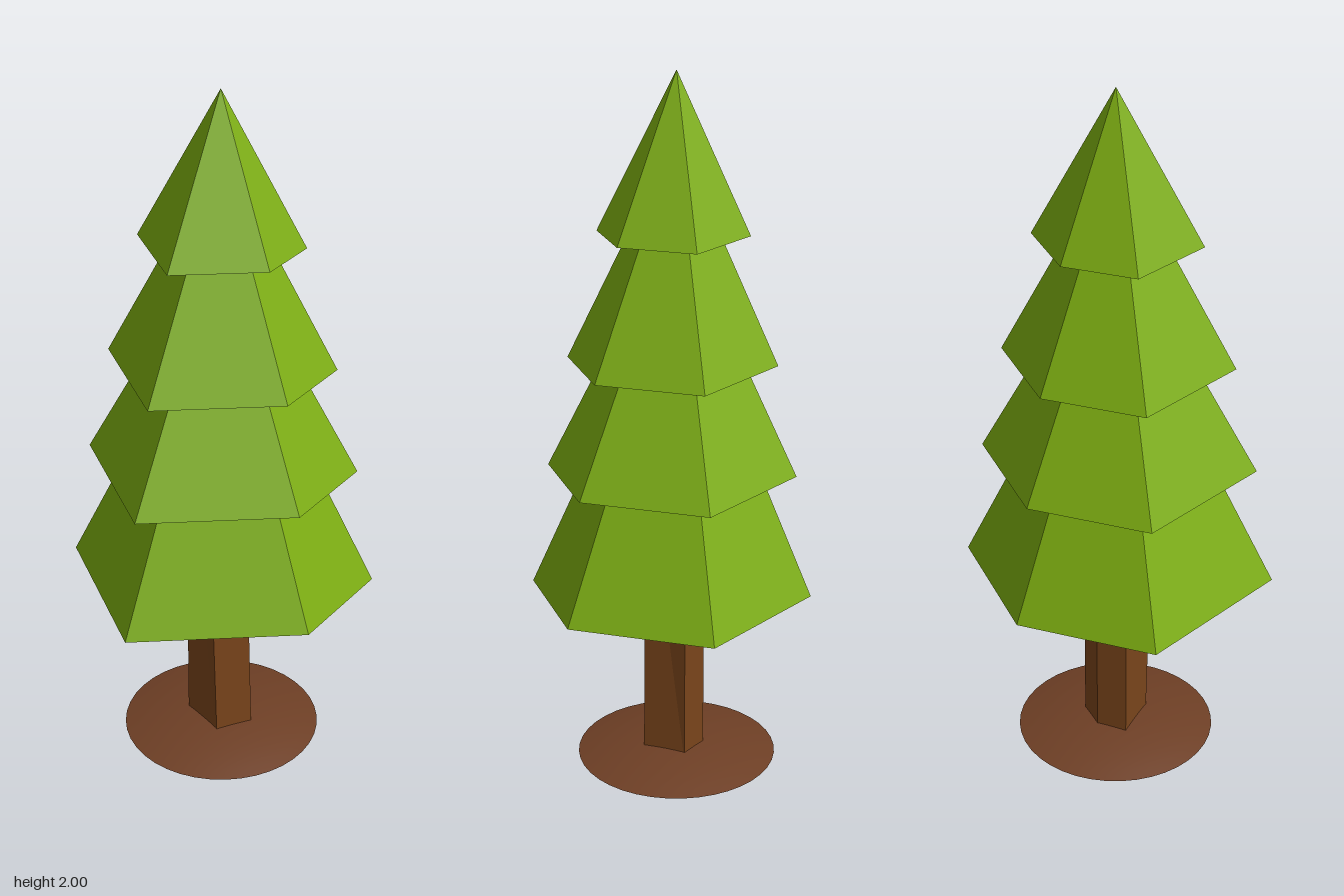
import * as THREE from 'three';

const AXIS_X = -0.01;
const HOLE_RADIUS = 0.334;

// Irregular hexagon (x, z) of the widest tier, relative to the tree axis
const HEX = [[0.015, -0.39], [0.39, -0.205], [0.38, 0.205], [0.11, 0.39], [-0.37, 0.25], [-0.36, -0.24]];
// Irregular pentagon (x, z) of the trunk, relative to the tree axis
const TRUNK = [[0.065, 0.08], [0.08, -0.045], [0, -0.08], [-0.085, -0.05], [-0.045, 0.085]];
// Tiers: base height, apex height, scale
const TIERS = [[0.545, 1.46, 1], [0.9, 1.61, 0.877], [1.215, 1.83, 0.731], [1.57, 2, 0.525]];

const outline = (points, s = 1) => new THREE.Shape(points.map(([x, z]) => new THREE.Vector2(x * s, z * s)));

function createTier([base, apex, s], index) {
  const tier = new THREE.Group();
  tier.name = `foliageTier${index + 1}`;
  const green = new THREE.MeshStandardMaterial({ color: 0x7cad10, flatShading: true });
  const insideGreen = green.clone();
  insideGreen.side = THREE.BackSide;
  const height = apex - base;

  // Six sloping faces meeting at the apex
  const positions = [];
  HEX.forEach(([x, z], i) => {
    const [nx, nz] = HEX[(i + 1) % HEX.length];
    positions.push(nx * s, 0, nz * s, x * s, 0, z * s, 0, height, 0);
  });
  const shell = new THREE.BufferGeometry();
  shell.setAttribute('position', new THREE.Float32BufferAttribute(positions, 3));
  shell.computeVertexNormals();
  const slopes = new THREE.Mesh(shell, green);
  slopes.name = 'slopes';

  // Flat underside with a round opening
  const rimShape = outline(HEX, s);
  rimShape.holes.push(new THREE.Path().absarc(0, 0, HOLE_RADIUS * s, 0, Math.PI * 2, true));
  const rim = new THREE.Mesh(new THREE.ShapeGeometry(rimShape, 12).rotateX(Math.PI / 2), green);
  rim.name = 'undersideRim';

  // Conical hollow inside the tier
  const depth = height * 0.86;
  const hollow = new THREE.Mesh(
    new THREE.ConeGeometry(HOLE_RADIUS * s, depth, 24, 1, true).translate(0, depth / 2, 0), insideGreen);
  hollow.name = 'hollow';

  tier.add(slopes, rim, hollow);
  tier.position.y = base;
  return tier;
}

function createTrunk() {
  const bottom = 0.003, top = 0.95;
  const geometry = new THREE.ExtrudeGeometry(outline(TRUNK), { depth: top - bottom, bevelEnabled: false });
  geometry.rotateX(Math.PI / 2).translate(0, top, 0);
  // Skew the upper corners a little for a rough-hewn look
  const p = geometry.attributes.position;
  for (let i = 0; i < p.count; i++) {
    const t = (p.getY(i) - bottom) / (top - bottom);
    if (p.getZ(i) > 0) p.setX(i, p.getX(i) - 0.025 * t);
  }
  geometry.computeVertexNormals();
  const trunk = new THREE.Mesh(geometry, new THREE.MeshStandardMaterial({ color: 0x7a451b, flatShading: true }));
  trunk.name = 'trunk';
  return trunk;
}

function createMound() {
  // Thin shallow dome, smooth and open underneath
  const radius = 0.285, height = 0.038, profile = [];
  for (let i = 0; i <= 8; i++) {
    const t = 1 - i / 8;
    profile.push(new THREE.Vector2(radius * t, height * (1 - t * t)));
  }
  const mound = new THREE.Mesh(new THREE.LatheGeometry(profile, 40),
    new THREE.MeshStandardMaterial({ color: 0x6e3f25, side: THREE.DoubleSide }));
  mound.name = 'soilMound';
  return mound;
}

export function createModel() {
  const tree = new THREE.Group();
  tree.name = 'pineTree';
  tree.add(createMound(), createTrunk(), ...TIERS.map(createTier));
  tree.children.forEach((part) => { part.position.x = AXIS_X; });
  return tree;
}
